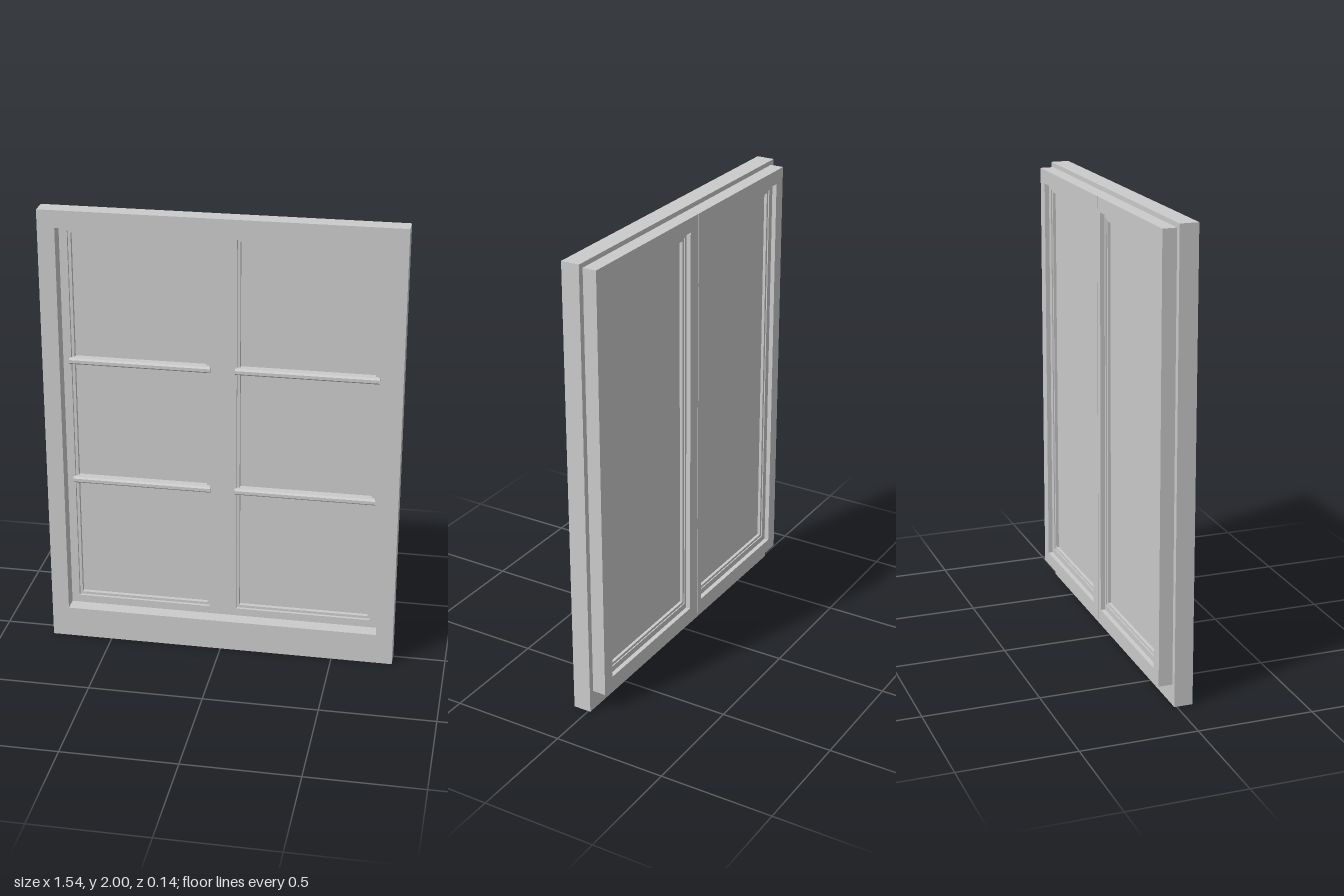
import * as THREE from 'three';

const material = new THREE.MeshStandardMaterial({ color: 0xcccccc, flatShading: true });

// Trace a rectangle given as [x0, x1, y0, y1] onto a Shape or Path
function rect(path, [x0, x1, y0, y1]) {
  path.moveTo(x0, y0);
  path.lineTo(x1, y0);
  path.lineTo(x1, y1);
  path.lineTo(x0, y1);
  path.closePath();
  return path;
}

// Flat panel with rectangular holes, running from z0 to z1
function panel(name, outer, holes, z0, z1) {
  const shape = rect(new THREE.Shape(), outer);
  for (const hole of holes) shape.holes.push(rect(new THREE.Path(), hole));
  const geometry = new THREE.ExtrudeGeometry(shape, { depth: z1 - z0, bevelEnabled: false });
  geometry.translate(0, 0, z0);
  const mesh = new THREE.Mesh(geometry, material);
  mesh.name = name;
  return mesh;
}

const inset = ([x0, x1, y0, y1], d) => [x0 + d, x1 - d, y0 + d, y1 - d];

// Horizontal glazing bar with chamfered front edges
function glazingBar(x0, x1, y) {
  const h = 0.0135;
  const profile = new THREE.Shape([
    new THREE.Vector2(0.03, -h), new THREE.Vector2(0.03, h),
    new THREE.Vector2(-0.01, h), new THREE.Vector2(-0.018, h * 0.5),
    new THREE.Vector2(-0.018, -h * 0.5), new THREE.Vector2(-0.01, -h),
  ]);
  const geometry = new THREE.ExtrudeGeometry(profile, { depth: x1 - x0, bevelEnabled: false });
  geometry.rotateY(Math.PI / 2); // profile x becomes -z, length runs along x
  geometry.translate(x0, y, 0);
  const mesh = new THREE.Mesh(geometry, material);
  mesh.name = 'glazingBar';
  return mesh;
}

export function createModel() {
  const model = new THREE.Group();
  model.name = 'window';

  // Outer frame
  model.add(panel('outerFrame', [-0.77, 0.77, 0, 2], [[-0.695, 0.695, 0.14, 1.925]], -0.01, 0.07));

  // Sash body, with a closed meeting stile in front
  const openings = [[-0.66, -0.06, 0.175, 1.895], [0.06, 0.66, 0.175, 1.895]];
  model.add(panel('sashBody', [-0.745, 0.745, 0.09, 1.98], openings, -0.05, 0.005));

  // Back of the two sashes, separated by a narrow seam
  const seam = -0.016, gap = 0.002;
  const backs = [[-0.745, seam - gap, 0.09, 1.98], [seam + gap, 0.745, 0.09, 1.98]];
  const recesses = [[-0.688, -0.048, 0.148, 1.918], [0.048, 0.688, 0.148, 1.918]];
  backs.forEach((outer, i) => model.add(panel('sashBack', outer, [recesses[i]], -0.07, -0.05)));

  // Panes with glazing beads on both faces, and bars on the front
  for (const opening of openings) {
    const pane = new THREE.Group();
    pane.name = 'pane';
    pane.add(panel('glass', opening, [], -0.032, -0.026));
    pane.add(panel('frontBead', opening, [inset(opening, 0.012)], -0.026, -0.008));
    pane.add(panel('backBead', opening, [inset(opening, 0.012)], -0.045, -0.032));
    for (const y of [0.755, 1.315]) pane.add(glazingBar(opening[0] - 0.007, opening[1] + 0.007, y));
    model.add(pane);
  }
  return model;
}
